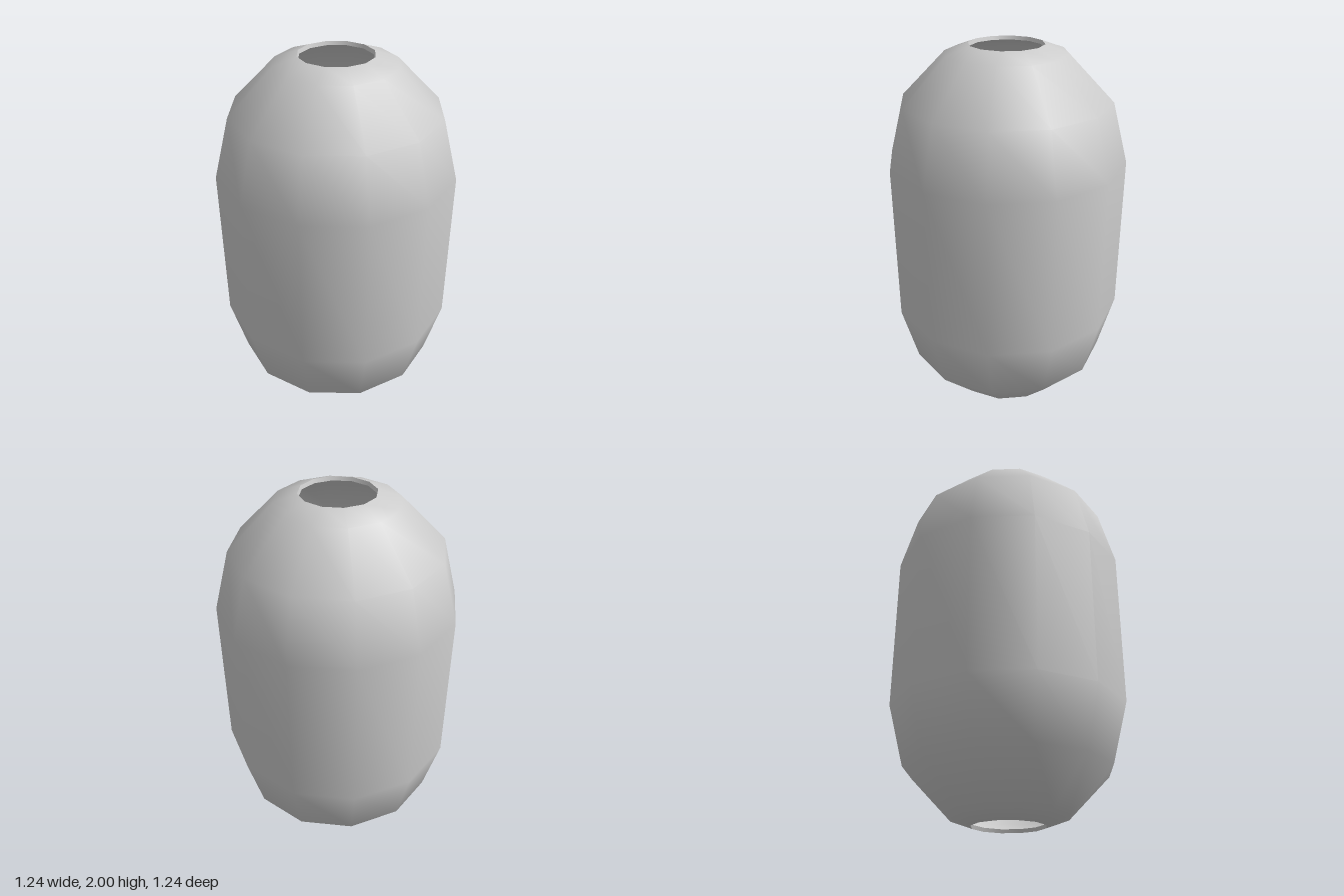
import * as THREE from 'three';

const SIDES = 12;
const WALL = 0.02;

// Upper half of the capsule profile as [radius, height above the middle], equator to opening
const OUTER = [[0.622, 0.415], [0.539, 0.726], [0.311, 0.957], [0.191, 1]];
// The same profile moved inwards by the wall thickness
const INNER = [[0.602, 0.412], [0.522, 0.713], [0.303, 0.938], [0.185, 0.981]];

// Mirrors a half profile about the middle; points run from bottom to top
function fullProfile(half) {
  const upper = half.map(([r, h]) => new THREE.Vector2(r, 1 + h));
  const lower = half.map(([r, h]) => new THREE.Vector2(r, 1 - h)).reverse();
  return [...lower, ...upper];
}

export function createModel() {
  const group = new THREE.Group();
  group.name = 'hollowCapsule';
  const material = new THREE.MeshStandardMaterial({ color: 0xcccccc });

  const addLathe = (name, points) => {
    const mesh = new THREE.Mesh(new THREE.LatheGeometry(points, SIDES), material);
    mesh.name = name;
    group.add(mesh);
  };

  const outer = fullProfile(OUTER);
  const inner = fullProfile(INNER).reverse(); // top to bottom, so it faces inwards
  const last = outer.length - 1;

  addLathe('outerShell', outer);
  addLathe('innerShell', inner);
  // Narrow rims join the two shells around each opening
  addLathe('topRim', [outer[last], inner[0]]);
  addLathe('bottomRim', [inner[last], outer[0]]);

  return group;
}
